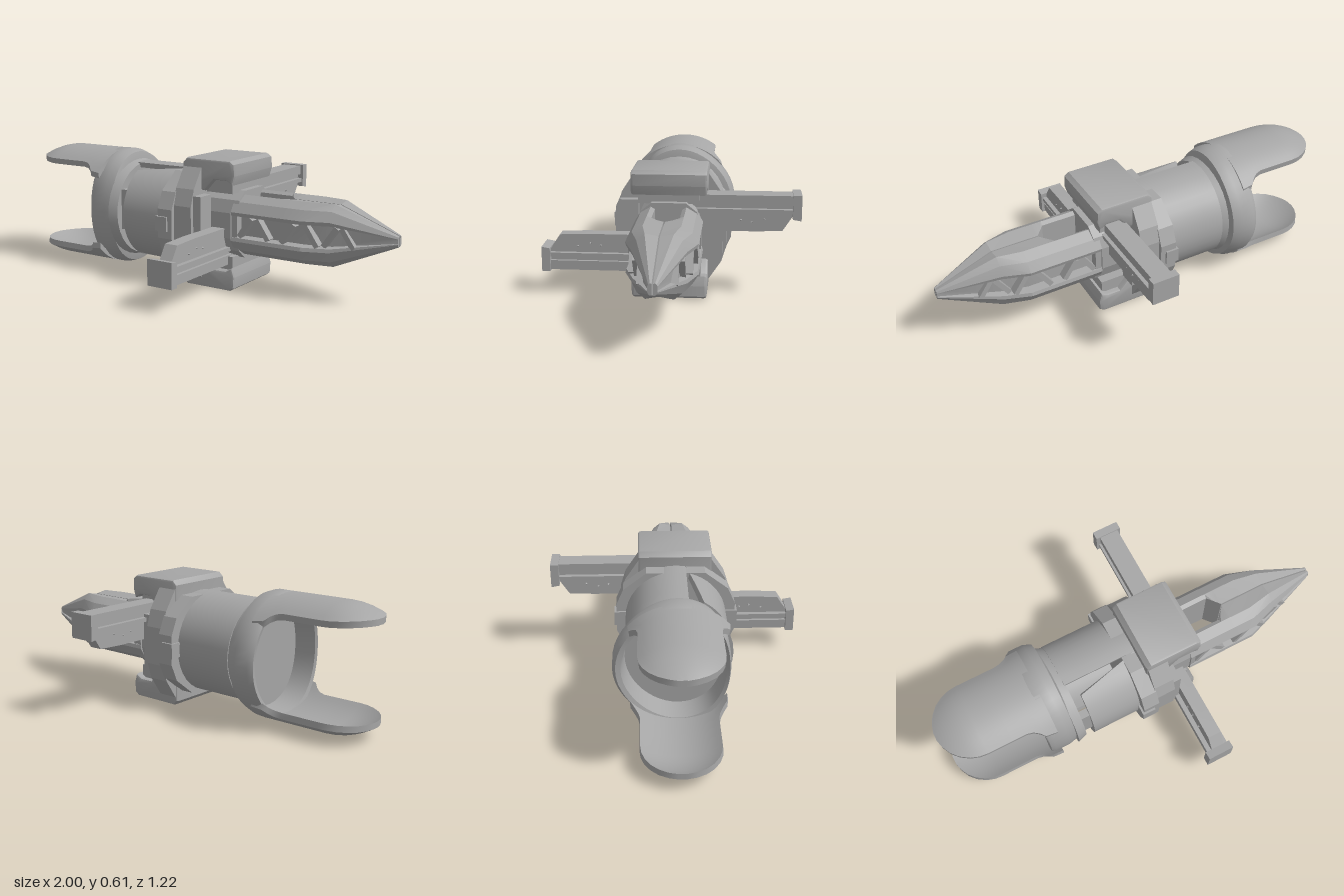
import * as THREE from 'three';
import { toCreasedNormals } from 'three/addons/utils/BufferGeometryUtils.js';

const AXIS_Y = 0.31;
const grey = new THREE.MeshStandardMaterial({ color: 0xa6a6a6 });
grey.name = 'plain grey';

const lerp = THREE.MathUtils.lerp;
const rad = THREE.MathUtils.degToRad;
const mapTo = (x, a, b, u, v) => THREE.MathUtils.mapLinear(THREE.MathUtils.clamp(x, a, b), a, b, u, v);

function part(parent, name, geometry, crease = 0.5) {
  const mesh = new THREE.Mesh(toCreasedNormals(geometry, crease), grey);
  mesh.name = name;
  parent.add(mesh);
  return mesh;
}

// Box given by its limits
function box(parent, name, x0, x1, y0, y1, z0, z1) {
  const g = new THREE.BoxGeometry(x1 - x0, y1 - y0, z1 - z0);
  g.translate((x0 + x1) / 2, (y0 + y1) / 2, (z0 + z1) / 2);
  return part(parent, name, g);
}

// Closed skin through equal loops of [x, y, z], capped at both ends
function loft(loops) {
  const n = loops[0].length, pos = loops.flat(2), idx = [];
  for (let i = 0; i < loops.length - 1; i++) {
    for (let j = 0; j < n; j++) {
      const a = i * n + j, b = i * n + (j + 1) % n;
      idx.push(a, b, a + n, b, b + n, a + n);
    }
  }
  // Caps pair opposite points, which suits both arcs and symmetric profiles
  const last = (loops.length - 1) * n;
  for (let j = 0; j < n / 2 - 1; j++) {
    const a = j, b = j + 1, c = n - 2 - j, d = n - 1 - j;
    idx.push(a, c, b, a, d, c, last + a, last + b, last + c, last + a, last + c, last + d);
  }
  // Turn the skin outward if its volume is negative
  const p = (i) => new THREE.Vector3(pos[i * 3], pos[i * 3 + 1], pos[i * 3 + 2]);
  let volume = 0;
  for (let k = 0; k < idx.length; k += 3) volume += p(idx[k]).dot(p(idx[k + 1]).cross(p(idx[k + 2])));
  if (volume < 0) idx.reverse();
  const g = new THREE.BufferGeometry();
  g.setAttribute('position', new THREE.Float32BufferAttribute(pos, 3));
  g.setIndex(idx);
  return g;
}

// Hollow rear ring, flatter on its front side
function cuffRing() {
  const profile = [[0, -0.44], [0.25, -0.44], [0.265, -0.545], [0.285, -0.552], [0.297, -0.53],
    [0.297, -0.46], [0.283, -0.42], [0.24, -0.408], [0, -0.408]];
  const g = new THREE.LatheGeometry(profile.map(([r, x]) => new THREE.Vector2(r, x)), 48);
  g.rotateZ(-Math.PI / 2);
  const p = g.attributes.position;
  for (let i = 0; i < p.count; i++) {
    const c = p.getZ(i) / 0.297;
    p.setZ(i, 0.263 * c - 0.032 * Math.abs(c) ** 3);
  }
  return g;
}

// Curved tongue with a round, drooping tip and a flared root
function cuffTongue() {
  const xs = [-1, -0.99, -0.97, -0.94, -0.9, -0.86, -0.82, -0.7, -0.63, -0.6, -0.575, -0.555, -0.5];
  return loft(xs.map((x) => {
    const u = mapTo(x, -1, -0.82, 1, 0);
    const flare = mapTo(x, -0.63, -0.55, 0, 1);
    const w = Math.max(0.02, 0.178 * Math.sqrt(1 - u * u)) + 0.045 * flare ** 2;
    const drop = 0.055 * u * u, outer = [], inner = [];
    for (let j = 0; j <= 16; j++) {
      const z = (j / 8 - 1) * w;
      const y = Math.sqrt(0.295 ** 2 - z * z) - drop;
      outer.push([x, y, z]);
      inner.unshift([x, y - 0.028, z * 0.98]);
    }
    return [...outer, ...inner];
  }));
}

// Curved wall of the barrel between two angles that may change along x
function barrelPanel(x0, x1, startEdge, endEdge, centre) {
  const loops = [];
  for (let i = 0; i <= 4; i++) {
    const x = lerp(x0, x1, i / 4), half = lerp(startEdge, endEdge, i / 4);
    const outer = [], inner = [];
    for (let j = 0; j <= 20; j++) {
      const a = rad(centre + half * (j / 10 - 1));
      outer.push([x, 0.242 * Math.sin(a), 0.242 * Math.cos(a)]);
      inner.unshift([x, 0.215 * Math.sin(a), 0.215 * Math.cos(a)]);
    }
    loops.push([...outer, ...inner]);
  }
  return loft(loops);
}

// One half of the pointed nose, with a recessed side
function prong(side) {
  const xs = [0.24, 0.44, 0.465, 0.485, 0.49, 0.6, 0.72, 0.97, 1];
  return loft(xs.map((x) => {
    const h = x < 0.97 ? mapTo(x, 0.72, 0.97, 0.142, 0.038) : mapTo(x, 0.97, 1, 0.038, 0.025);
    const w = mapTo(x, 0.6, 1, 0.158, 0.02);
    const inside = Math.min(mapTo(x, 0.44, 0.49, 0.063, 0.003), w * 0.6);
    const crest = Math.max(inside + 0.004, w * 0.52), floor = Math.max(inside + 0.003, w * 0.7);
    const half = [[h * 0.92, inside], [h, crest], [h * 0.8, w * 0.82], [h * 0.48, w], [h * 0.36, w * 0.97], [h * 0.32, floor]];
    const mirrored = half.map(([y, z]) => [-y, z]).reverse();
    return [...half, ...mirrored].map(([y, z]) => [x, y, z * side]);
  }));
}

// Outline in z and y pushed out along x
function sidePlate(points, x0, x1) {
  const at = (x) => points.map(([z, y]) => [x, y, z]);
  return loft([at(x0), at(x1)]);
}

// Upper arm reaching backward, with its rail, blade and end cap
function arm() {
  const g = new THREE.Group();
  g.name = 'arm';
  part(g, 'armBlade', sidePlate([[-0.1, 0.15], [-0.57, 0.15], [-0.57, 0.09], [-0.525, 0.02], [-0.4, 0.015], [-0.1, 0.015]], 0.135, 0.2));
  box(g, 'armRail', 0.12, 0.215, 0.145, 0.19, -0.58, 0.05);
  box(g, 'armRib', 0.112, 0.222, 0.105, 0.125, -0.58, -0.1);
  box(g, 'armBlock', 0.1, 0.24, 0.15, 0.225, -0.14, 0.145);
  const cap = [[-0.57, 0.195], [-0.61, 0.195], [-0.61, 0.075], [-0.57, 0.082]];
  part(g, 'armEndCap', sidePlate(cap, 0.1, 0.23));
  // Raised chips on both faces of the blade
  for (const [z, y] of [[-0.33, 0.07], [-0.38, 0.06], [-0.44, 0.075]]) {
    const chip = part(g, 'armChip', new THREE.OctahedronGeometry(0.028), 0.1);
    chip.scale.set(1.5, 0.8, 1);
    chip.position.set(0.167, y, z);
  }
  return g;
}

// Overhanging top jaw of the housing
function jaw() {
  const s = new THREE.Shape();
  const pts = [[-0.005, 0.17], [0.1, 0.17], [0.15, 0.225], [0.225, 0.225], [0.25, 0.21], [0.258, 0.24], [0.255, 0.285], [0.24, 0.295], [0.01, 0.295], [-0.005, 0.28]];
  s.setFromPoints(pts.map(([x, y]) => new THREE.Vector2(x, y)));
  const g = new THREE.ExtrudeGeometry(s, { depth: 0.33, bevelSize: 0.012, bevelThickness: 0.012, bevelSegments: 2 });
  return g.translate(0, 0, -0.165);
}

// Faceted ring plate: half outline mirrored through the axis
function facetedPlate(corners, x0, x1) {
  const ring = [...corners, ...corners.map(([z, y]) => [z, -y]).reverse()];
  return sidePlate(ring, x0, x1);
}

export function createModel() {
  const model = new THREE.Group();
  model.name = 'model';
  const body = new THREE.Group();
  body.name = 'body';
  body.position.y = AXIS_Y;
  model.add(body);

  part(body, 'cuffRing', cuffRing(), 0.7);

  // Neck flange between cuff and barrel
  const flange = new THREE.CylinderGeometry(0.235, 0.25, 0.045, 32).rotateZ(-Math.PI / 2);
  part(body, 'neckFlange', flange).position.x = -0.395;

  part(body, 'backBarrelPanel', barrelPanel(-0.38, 0.02, 102, 102, 180));
  part(body, 'frontBarrelPanel', barrelPanel(-0.33, 0.02, 60, 80, 0));
  box(body, 'barrelStrut', -0.39, -0.3, -0.08, 0.12, 0.16, 0.2);

  // Collar and main housing plate
  part(body, 'collar', facetedPlate([[-0.285, 0.07], [-0.25, 0.15], [-0.14, 0.235], [0.14, 0.235], [0.25, 0.15], [0.285, 0.07]], -0.085, -0.005), 0.2);
  part(body, 'housingPlate', facetedPlate([[-0.265, 0.09], [-0.24, 0.17], [-0.16, 0.29], [0.16, 0.29], [0.24, 0.17], [0.265, 0.09]], -0.01, 0.09), 0.2);

  // Side latches
  for (const s of [-1, 1]) {
    box(body, 'sideLatch', -0.095, -0.03, -0.035, 0.035, s * 0.265 - 0.03, s * 0.265 + 0.03);
    box(body, 'cheek', 0.08, 0.13, -0.14, 0.14, s * 0.2 - 0.045, s * 0.2 + 0.045);
  }

  // Socket holding the nose
  part(body, 'noseSocket', facetedPlate([[-0.15, 0.06], [-0.13, 0.12], [-0.08, 0.16], [0.08, 0.16], [0.13, 0.12], [0.15, 0.06]], 0.07, 0.27), 0.2);

  // Parts repeated half a turn around the long axis
  for (const turn of [0, Math.PI]) {
    const half = new THREE.Group();
    half.name = turn ? 'lowerHalf' : 'upperHalf';
    half.rotation.x = turn;
    body.add(half);
    part(half, 'cuffTongue', cuffTongue(), 0.7);
    part(half, 'housingJaw', jaw());
    half.add(arm());
  }

  // Split nose with slanted ribs in each side recess
  for (const side of [-1, 1]) {
    part(body, 'noseProng', prong(side), 0.3);
    [0.31, 0.4, 0.53, 0.64, 0.72, 0.79].forEach((x, i) => {
      const rib = box(body, 'noseRib', -0.012, 0.012, -0.055, 0.055, -0.02, 0.02);
      rib.position.set(x, 0, side * (mapTo(x, 0.6, 1, 0.158, 0.02) - 0.028));
      rib.rotation.z = (i % 2 ? 1 : -1) * 0.6;
    });
  }
  return model;
}
